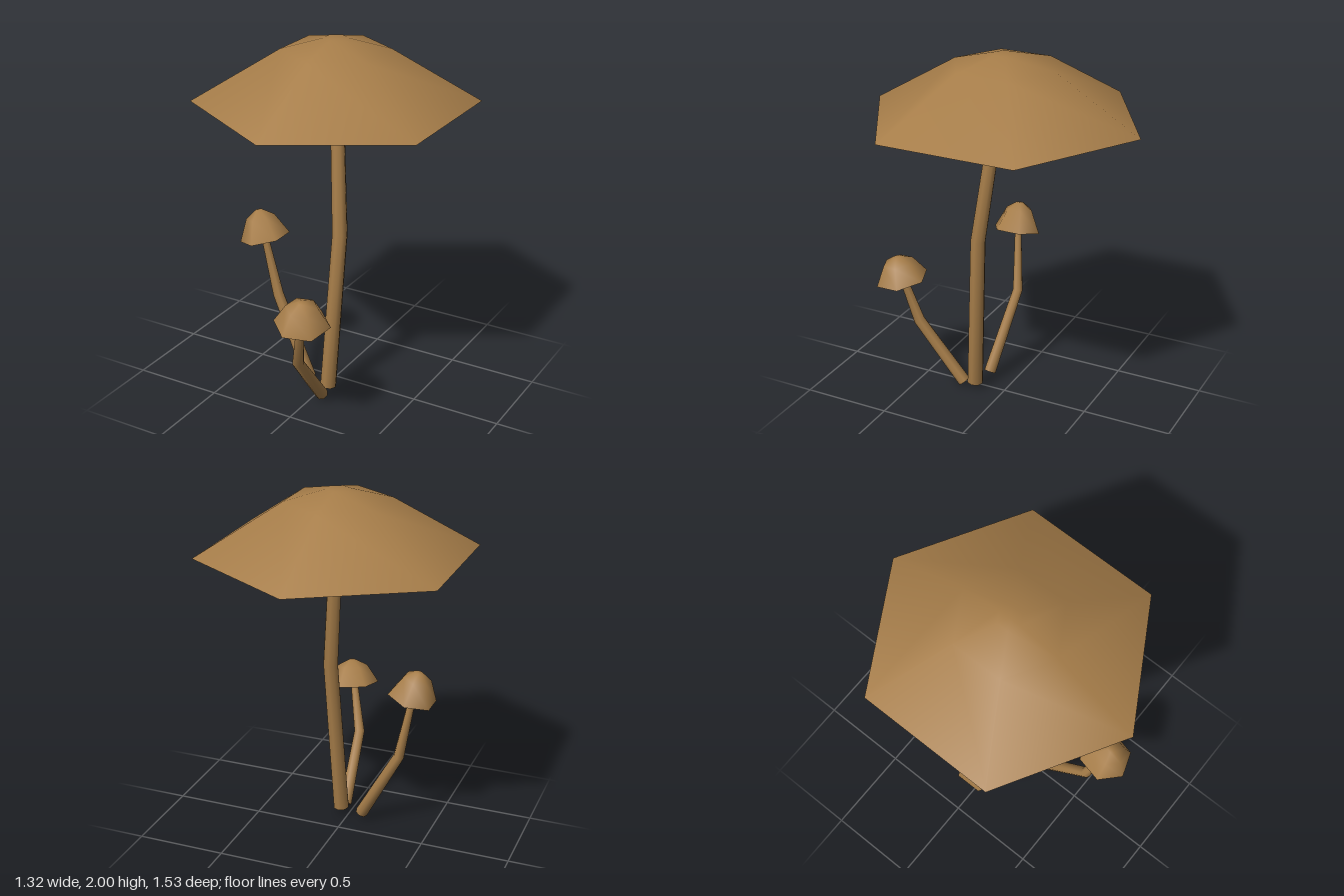
import * as THREE from 'three';

const brown = new THREE.MeshStandardMaterial({ color: 0xa67d49, side: THREE.DoubleSide });
brown.name = 'mushroom brown';
const UP = new THREE.Vector3(0, 1, 0);

// Bent, tapering stem with closed ends: one mitred ring per path point [x, y, z, radius]
function makeStem(name, path, sides = 8) {
  const pts = path.map(([x, y, z]) => new THREE.Vector3(x, y, z));
  const pos = [], idx = [];
  pts.forEach((p, i) => {
    const a = pts[Math.max(i - 1, 0)], b = pts[Math.min(i + 1, pts.length - 1)];
    const dirIn = (i ? p.clone().sub(a) : b.clone().sub(p)).normalize();
    const dirOut = (b !== p ? b.clone().sub(p) : p.clone().sub(a)).normalize();
    const q = new THREE.Quaternion().setFromUnitVectors(UP, dirIn.add(dirOut).normalize());
    for (let j = 0; j < sides; j++) {
      const t = (j / sides) * Math.PI * 2;
      const v = new THREE.Vector3(Math.sin(t), 0, Math.cos(t)).multiplyScalar(path[i][3]);
      pos.push(...v.applyQuaternion(q).add(p).toArray());
    }
  });
  const last = (pts.length - 1) * sides, bottom = pts.length * sides, top = bottom + 1;
  pos.push(...pts[0].toArray(), ...pts[pts.length - 1].toArray());
  for (let j = 0; j < sides; j++) {
    const k = (j + 1) % sides;
    for (let i = 0; i < last; i += sides) {
      idx.push(i + j, i + k, i + sides + k, i + j, i + sides + k, i + sides + j);
    }
    idx.push(bottom, k, j, top, last + j, last + k);
  }
  const geo = new THREE.BufferGeometry();
  geo.setAttribute('position', new THREE.Float32BufferAttribute(pos, 3));
  geo.setIndex(idx);
  geo.computeVertexNormals();
  const mesh = new THREE.Mesh(geo, brown);
  mesh.name = name;
  return mesh;
}

// Hollow six-sided cap; the profile runs from the rim up to the crown
function makeCap(name, profile, centre, axis, turn = 0) {
  const geo = new THREE.LatheGeometry(profile.map(([r, y]) => new THREE.Vector2(r, y)), 6);
  geo.rotateY(turn);
  const mesh = new THREE.Mesh(geo, brown);
  mesh.name = name;
  mesh.position.set(...centre);
  mesh.quaternion.setFromUnitVectors(UP, new THREE.Vector3(...axis).normalize());
  return mesh;
}

export function createModel() {
  const model = new THREE.Group();
  model.name = 'mushroomCluster';

  // Tall mushroom with a wide cap
  model.add(
    makeStem('tallStem', [[0.045, 0.04, 0.165, 0.046], [0.09, 0.96, 0.115, 0.043], [0, 1.92, 0, 0.036]]),
    makeCap('tallCap', [[0.763, 0], [0.29, 0.282], [0.065, 0.34], [0, 0.34]], [0, 1.66, 0], [0, 1, 0]),
  );

  // Medium mushroom leaning to the right
  model.add(
    makeStem('mediumStem', [[-0.09, 0.042, 0.14, 0.036], [-0.33, 0.48, 0.08, 0.03], [-0.415, 0.96, 0.12, 0.016]]),
    makeCap('mediumCap', [[0.14, 0], [0.08, 0.12], [0.022, 0.16], [0, 0.16]],
      [-0.388, 0.835, 0.115], [-0.24, 0.97, 0]),
  );

  // Small mushroom leaning forward
  model.add(
    makeStem('smallStem', [[0.045, 0.022, 0.237, 0.036], [0.065, 0.365, 0.515, 0.032], [0.145, 0.75, 0.603, 0.018]]),
    makeCap('smallCap', [[0.151, 0], [0.088, 0.105], [0.022, 0.138], [0, 0.138]],
      [0.133, 0.647, 0.58], [0.1, 0.98, 0.15], THREE.MathUtils.degToRad(-11)),
  );
  return model;
}
